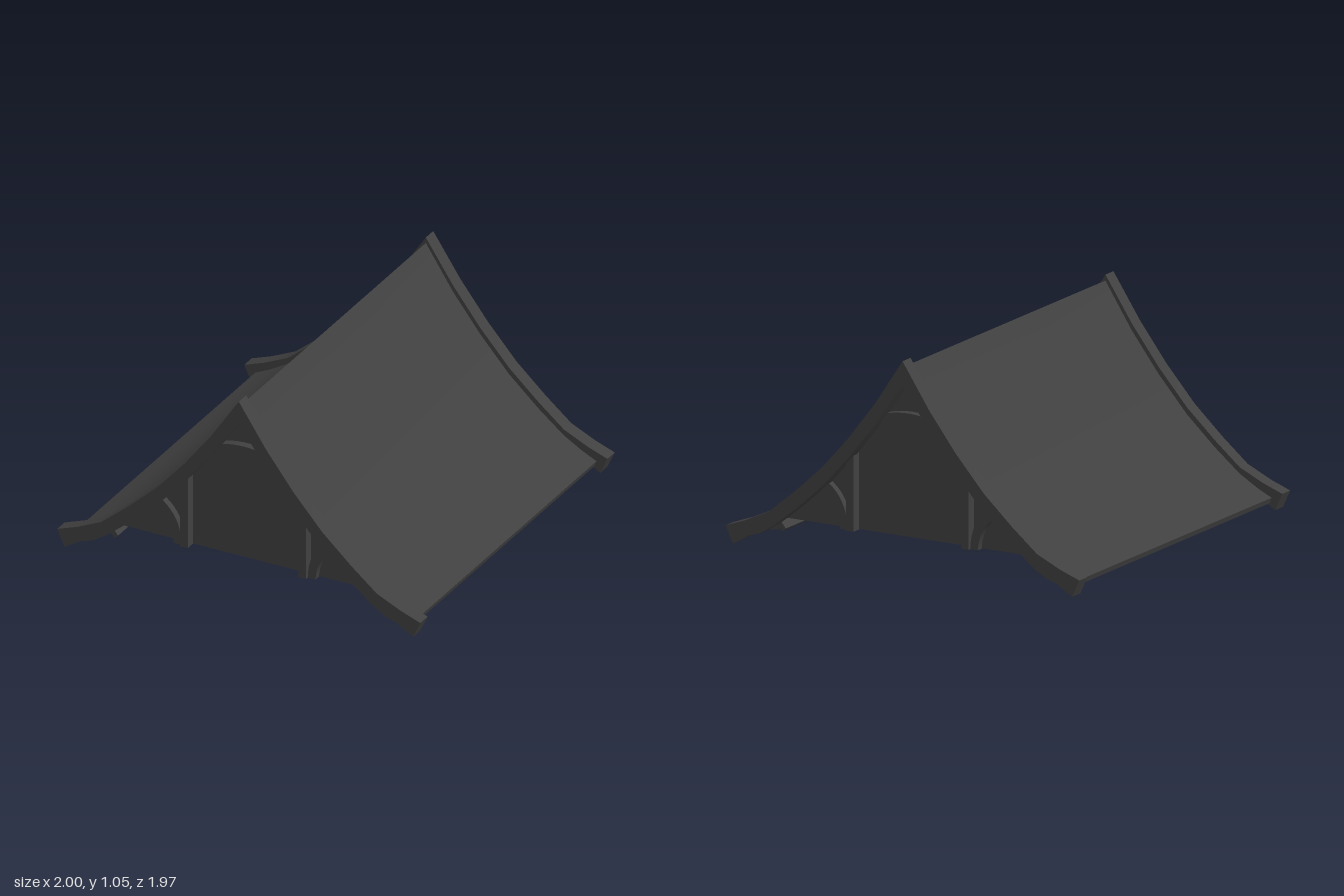
import * as THREE from 'three';
import { toCreasedNormals } from 'three/addons/utils/BufferGeometryUtils.js';

const material = new THREE.MeshStandardMaterial({ color: 0x404040 });

// Right half of each profile, from the ridge to the eave
const boardTop = [[0, 1.05], [0.15, 0.825], [0.3, 0.63], [0.46, 0.45], [0.62, 0.305], [0.76, 0.19], [0.89, 0.13], [1, 0.09]];
const boardUnder = [[0, 0.93], [0.16, 0.705], [0.3, 0.53], [0.45, 0.365], [0.6, 0.23], [0.73, 0.125], [0.81, 0.075], [0.87, 0.057], [0.96, 0.003]];
const roofTop = [[0, 1.02], [0.15, 0.79], [0.3, 0.595], [0.46, 0.415], [0.62, 0.27], [0.76, 0.158], [0.86, 0.1], [0.94, 0.062]];
const roofUnder = [[0, 0.98], [0.15, 0.75], [0.3, 0.555], [0.46, 0.375], [0.62, 0.232], [0.76, 0.12], [0.85, 0.07], [0.93, 0.034]];

const mirror = (half) => [...half.slice(1).reverse().map(([x, y]) => [-x, y]), ...half];
const flip = (points) => points.map(([x, y]) => [-x, y]);

// Extrudes an outline between two depths
function slab(name, points, z0, z1) {
  const shape = new THREE.Shape(points.map(([x, y]) => new THREE.Vector2(x, y)));
  const geometry = new THREE.ExtrudeGeometry(shape, { depth: z1 - z0, bevelEnabled: false });
  geometry.translate(0, 0, z0);
  const mesh = new THREE.Mesh(toCreasedNormals(geometry, 0.35), material);
  mesh.name = name;
  return mesh;
}

// Samples a quadratic curve
function bend(a, b, c, n = 10) {
  const v = (p) => new THREE.Vector2(...p);
  return new THREE.QuadraticBezierCurve(v(a), v(b), v(c)).getPoints(n).map((p) => [p.x, p.y]);
}

export function createModel() {
  const model = new THREE.Group();
  model.name = 'gableRoof';

  // Curved roof covering
  model.add(slab('roofCovering', [...mirror(roofTop), ...mirror(roofUnder).reverse()], -0.92, 0.92));

  // Solid attic with flat underside and gable walls
  const attic = [[0, 1], [0.15, 0.77], [0.3, 0.575], [0.46, 0.395], [0.62, 0.25], [0.73, 0.146]];
  model.add(slab('atticWalls', mirror(attic), -0.89, 0.89));

  // Timber frame outlines
  const post = [[0.305, 0.143], [0.347, 0.143], [0.347, 0.5], [0.305, 0.55]];
  const brace = [
    ...bend([0.347, 0.143], [0.35, 0.3], [0.47, 0.375]),
    ...bend([0.39, 0.143], [0.395, 0.27], [0.52, 0.335]).reverse(),
  ];
  const collar = [
    ...bend([-0.17, 0.7], [0, 0.77], [0.17, 0.7]),
    ...bend([-0.13, 0.758], [0, 0.793], [0.13, 0.758]).reverse(),
  ];

  for (const end of [1, -1]) {
    const gable = new THREE.Group();
    gable.name = end > 0 ? 'frontGable' : 'backGable';
    // Barge boards standing proud of the covering
    gable.add(slab('bargeBoard', [...mirror(boardTop), ...mirror(boardUnder).reverse()], 0.91, 0.985));
    gable.add(slab('collarBeam', collar, 0.87, 0.93));
    for (const side of [1, -1]) {
      const place = (points) => (side > 0 ? points : flip(points));
      gable.add(slab('post', place(post), 0.87, 0.94));
      gable.add(slab('curvedBrace', place(brace), 0.87, 0.925));
    }
    if (end < 0) gable.rotation.y = Math.PI;
    model.add(gable);
  }

  // Eaves: long rail and a row of rafter tails on each side
  const tail = [[0.73, 0.145], [0.74, 0.09], [0.775, 0.072], [0.83, 0.066], [0.885, 0.046], [0.9, 0.055], [0.83, 0.085]];
  const rail = [[0.7, 0.1], [0.718, 0.083], [0.757, 0.122], [0.735, 0.143]];
  for (const side of [1, -1]) {
    const eave = new THREE.Group();
    eave.name = side > 0 ? 'leftEave' : 'rightEave';
    const place = (points) => (side > 0 ? points : flip(points));
    eave.add(slab('eaveRail', place(rail), -0.92, 0.92));
    const count = 13;
    for (let i = 0; i < count; i++) {
      const z = -0.84 + (1.68 * i) / (count - 1);
      eave.add(slab('rafterTail', place(tail), z - 0.025, z + 0.025));
    }
    model.add(eave);
  }
  return model;
}
